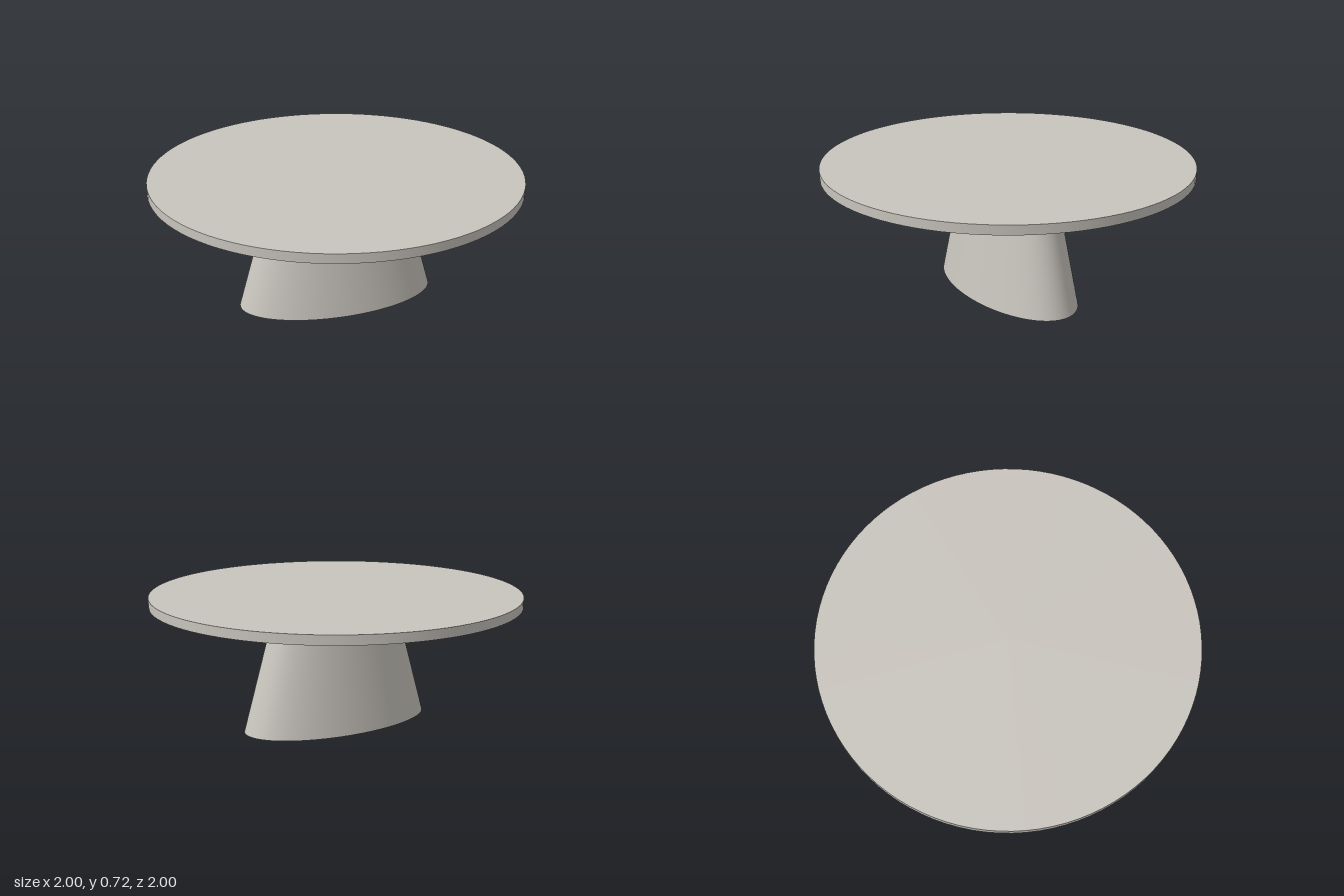
import * as THREE from 'three';

export function createModel() {
  const model = new THREE.Group();
  model.name = 'pedestalTable';
  const stone = new THREE.MeshStandardMaterial({ color: 0xc8c4bd });
  stone.name = 'warm grey stone';

  // Smooth upright cylinder or cone, standing on height y, with depth squeezed along z
  function addRound(name, topRadius, bottomRadius, y, height, depthRatio) {
    const geometry = new THREE.CylinderGeometry(topRadius, bottomRadius, height, 96);
    geometry.scale(1, 1, depthRatio);
    geometry.translate(0, y + height / 2, 0);
    const mesh = new THREE.Mesh(geometry, stone);
    mesh.name = name;
    model.add(mesh);
  }

  // Tapered oval pedestal
  addRound('pedestal', 0.358, 0.55, 0, 0.67, 0.516);
  // Thin round slab
  addRound('tableTop', 1, 1, 0.67, 0.05, 1);

  return model;
}
